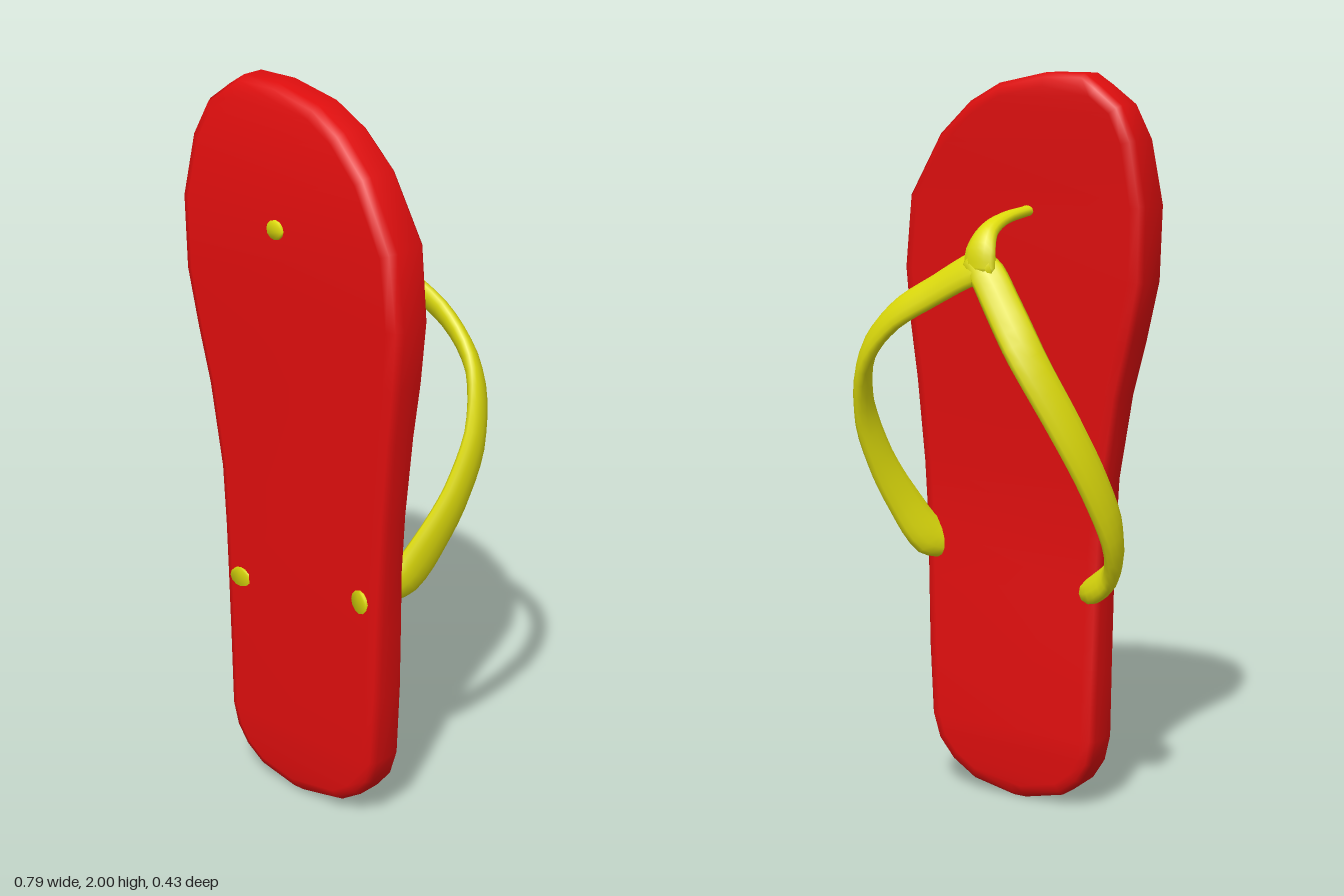
import * as THREE from 'three';

const red = new THREE.MeshStandardMaterial({ color: 0xe00e0e });
const yellow = new THREE.MeshStandardMaterial({ color: 0xdedc0c });

function makeMesh(name, positions, index, material) {
  const geometry = new THREE.BufferGeometry();
  geometry.setAttribute('position', new THREE.Float32BufferAttribute(positions, 3));
  geometry.setIndex(index);
  geometry.computeVertexNormals();
  const mesh = new THREE.Mesh(geometry, material);
  mesh.name = name;
  return mesh;
}

// Joins consecutive closed rings of n points with quads
function skin(index, rings, n) {
  for (let i = 0; i < rings - 1; i++) {
    for (let k = 0; k < n; k++) {
      const a = i * n + k, b = i * n + (k + 1) % n;
      index.push(a, b, a + n, b, b + n, a + n);
    }
  }
}

// Piecewise linear lookup in [key, value] pairs
function lookup(table, key) {
  let i = 1;
  while (i < table.length - 1 && table[i][0] < key) i++;
  const [k0, v0] = table[i - 1], [k1, v1] = table[i];
  return v0 + (v1 - v0) * (key - k0) / (k1 - k0);
}

// Sole: outline rows from heel to toe, lofted through bevelled layers
function createSole() {
  const rows = [ // y, x of right edge, x of left edge
    [0.003, -0.02, 0.02], [0.03, -0.14, 0.15], [0.075, -0.2, 0.22], [0.13, -0.235, 0.265],
    [0.2, -0.25, 0.285], [0.4, -0.252, 0.3], [0.6, -0.255, 0.308], [0.75, -0.26, 0.315],
    [0.92, -0.27, 0.325], [1.15, -0.31, 0.343], [1.3, -0.35, 0.36], [1.46, -0.387, 0.37],
    [1.66, -0.395, 0.345], [1.83, -0.37, 0.24], [1.92, -0.33, 0.14], [1.97, -0.265, 0.045],
    [2, -0.22, -0.1],
  ];
  const tread = [[0, 0.185], [0.2, 0.195], [0.6, 0.2], [1.65, 0.2], [1.85, 0.18], [2, 0.155]];
  const bed = [[0, 0.075], [0.2, 0.066], [0.6, 0.08], [0.8, 0.09], [1, 0.085], [1.65, 0.058], [2, 0.04]];
  const outline = [
    ...rows.map(([y, , x]) => [x, y]),
    ...rows.map(([y, x]) => [x, y]).reverse(),
  ];
  const n = outline.length, m = rows.length;
  // inset from the outline, which face, depth below that face
  const layers = [
    [0.036, bed, 0], [0.012, bed, 0.007], [0, bed, 0.022],
    [0, tread, -0.03], [0.012, tread, -0.01], [0.036, tread, 0],
  ];
  const positions = [], index = [];
  for (const [inset, face, depth] of layers) {
    outline.forEach(([x, y], k) => {
      const p = outline[(k + n - 1) % n], q = outline[(k + 1) % n];
      const tx = q[0] - p[0], ty = q[1] - p[1], len = Math.hypot(tx, ty);
      positions.push(x - inset * ty / len, y + inset * tx / len, lookup(face, y) + depth);
    });
  }
  skin(index, layers.length, n);
  // Footbed and tread faces, strip by strip
  const front = (layers.length - 1) * n;
  for (let i = 0; i < m - 1; i++) {
    const r = i, r2 = i + 1, l = n - 1 - i, l2 = n - 2 - i;
    index.push(l, r2, r, l, l2, r2);
    index.push(front + l, front + r, front + r2, front + l, front + r2, front + l2);
  }
  return makeMesh('sole', positions, index, red);
}

// Band with an oval section; stations are [x, y, z, half width, half thickness]
function createBand(name, stations, widthHint) {
  const curve = new THREE.CatmullRomCurve3(stations.map(s => new THREE.Vector3(s[0], s[1], s[2])));
  const steps = (stations.length - 1) * 4, n = 12;
  const widths = stations.map((s, i) => [i / (stations.length - 1), s[3]]);
  const depths = stations.map((s, i) => [i / (stations.length - 1), s[4]]);
  const positions = [], index = [];
  for (let i = 0; i <= steps; i++) {
    const u = i / steps, c = curve.getPoint(u), t = curve.getTangent(u);
    const w = widthHint.clone().addScaledVector(t, -widthHint.dot(t)).normalize();
    const d = t.clone().cross(w);
    for (let k = 0; k < n; k++) {
      const a = k / n * Math.PI * 2;
      c.clone().addScaledVector(w, Math.cos(a) * lookup(widths, u))
        .addScaledVector(d, Math.sin(a) * lookup(depths, u)).toArray(positions, positions.length);
    }
  }
  skin(index, steps + 1, n);
  const last = steps * n;
  for (let k = 1; k < n - 1; k++) {
    index.push(0, k + 1, k, last, last + k, last + k + 1);
  }
  return makeMesh(name, positions, index, yellow);
}

export function createModel() {
  const model = new THREE.Group();
  model.name = 'flipFlop';
  model.add(createSole());

  const up = new THREE.Vector3(0, 1, 0.5);
  model.add(createBand('leftStrap', [
    [-0.08, 1.52, -0.16, 0.035, 0.02], [-0.02, 1.5, -0.163, 0.05, 0.024],
    [0.09, 1.44, -0.17, 0.045, 0.023], [0.22, 1.36, -0.18, 0.042, 0.023],
    [0.32, 1.25, -0.165, 0.042, 0.023], [0.366, 1.1, -0.12, 0.043, 0.023],
    [0.358, 0.95, -0.06, 0.047, 0.023], [0.325, 0.82, 0.005, 0.055, 0.024],
    [0.285, 0.72, 0.065, 0.06, 0.028], [0.256, 0.69, 0.13, 0.04, 0.028],
    [0.25, 0.685, 0.204, 0.034, 0.028],
  ], up));
  model.add(createBand('rightStrap', [
    [-0.02, 1.53, -0.16, 0.035, 0.02], [-0.065, 1.49, -0.165, 0.048, 0.024],
    [-0.12, 1.41, -0.175, 0.05, 0.023], [-0.2, 1.28, -0.18, 0.052, 0.023],
    [-0.285, 1.1, -0.13, 0.053, 0.023], [-0.335, 0.94, -0.065, 0.052, 0.023],
    [-0.35, 0.8, 0, 0.05, 0.023], [-0.32, 0.69, 0.05, 0.046, 0.024],
    [-0.25, 0.63, 0.08, 0.043, 0.028], [-0.195, 0.615, 0.13, 0.035, 0.03],
    [-0.185, 0.615, 0.204, 0.028, 0.034],
  ], up));
  model.add(createBand('toePost', [
    [-0.045, 1.49, -0.17, 0.05, 0.02], [-0.045, 1.55, -0.162, 0.045, 0.022],
    [-0.045, 1.595, -0.13, 0.03, 0.021], [-0.045, 1.622, -0.06, 0.023, 0.016],
    [-0.045, 1.635, 0.05, 0.019, 0.014], [-0.042, 1.64, 0.13, 0.025, 0.022],
    [-0.042, 1.642, 0.204, 0.028, 0.026],
  ], new THREE.Vector3(1, 0, 0)));
  return model;
}
